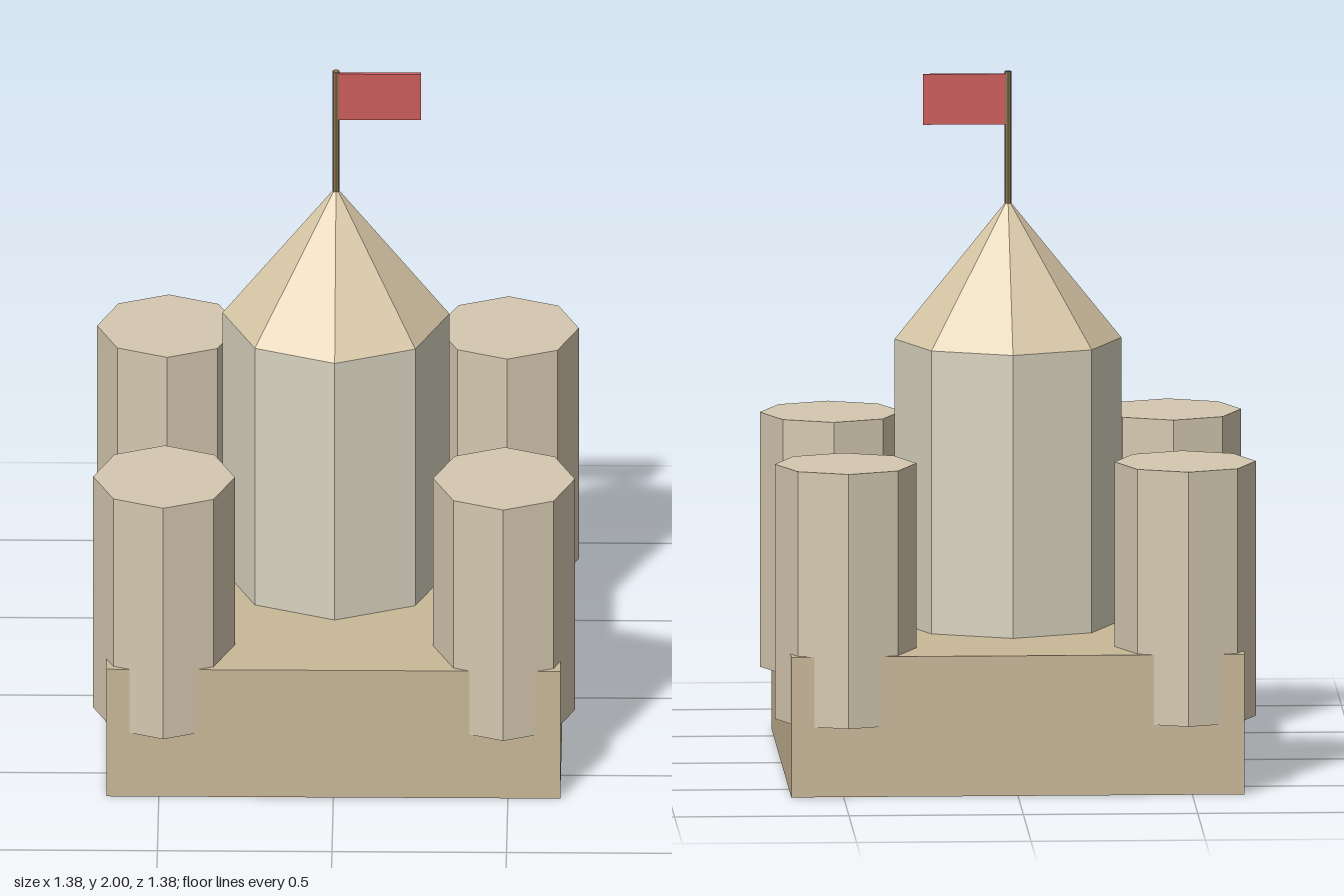
import * as THREE from 'three';

export function createModel() {
  const castle = new THREE.Group();
  castle.name = 'castle';

  const paint = (color) => new THREE.MeshStandardMaterial({ color, flatShading: true });
  const add = (name, geometry, material, x, y, z) => {
    const mesh = new THREE.Mesh(geometry, material);
    mesh.name = name;
    mesh.position.set(x, y, z);
    castle.add(mesh);
  };
  // Eight-sided prism or cone standing between two heights
  const octagon = (name, rTop, rBottom, y0, y1, material, x = 0, z = 0) =>
    add(name, new THREE.CylinderGeometry(rTop, rBottom, y1 - y0, 8), material, x, (y0 + y1) / 2, z);

  // Square base block
  add('base', new THREE.BoxGeometry(1.3, 0.406, 1.3), paint(0xc9b898), 0, 0.203, 0);

  // Corner towers, sunk halfway into the base and poking out of its sides
  const towerStone = paint(0xd5c8b0);
  for (const [side, sx] of [['Left', 1], ['Right', -1]]) {
    for (const [end, sz] of [['front', 1], ['back', -1]]) {
      octagon(`${end}${side}Tower`, 0.203, 0.203, 0.203, 0.941, towerStone, sx * 0.487, sz * 0.487);
    }
  }

  // Central keep with a pointed roof
  octagon('keep', 0.325, 0.325, 0.39, 1.226, paint(0xd8d3bf));
  octagon('keepRoof', 0, 0.325, 1.226, 1.63, paint(0xd9c8a8));

  // Pole and flag
  octagon('flagPole', 0.01, 0.01, 1.59, 2, paint(0x8b7355));
  add('flag', new THREE.BoxGeometry(0.244, 0.146, 0.012), paint(0xcd5c5c), 0.122, 1.92, 0);

  return castle;
}
